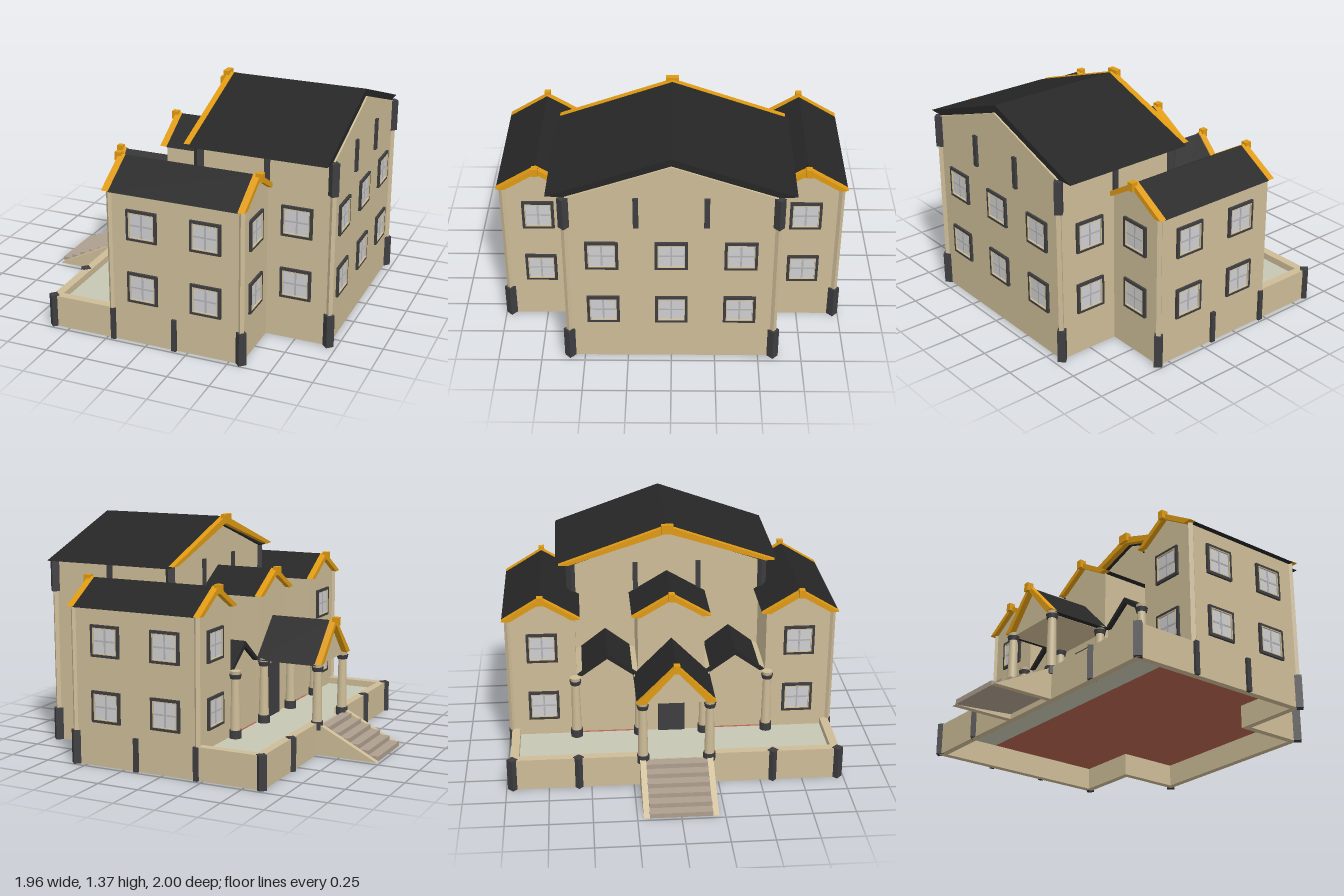
import * as THREE from 'three';

const mat = (name, color) => {
  const m = new THREE.MeshStandardMaterial({ color });
  m.name = name;
  return m;
};

export function createModel() {
  const model = new THREE.Group();
  model.name = 'villa';
  const stone = mat('sandstone', 0xcdbc97), roofing = mat('charcoal roof', 0x262626);
  const iron = mat('dark trim', 0x3e3e41), gold = mat('golden trim', 0xdf9a12);
  const tile = mat('terrace tile', 0xc6c6b3), tread = mat('step stone', 0xae9f8f);
  const brick = mat('red floor', 0xb5634f), glass = mat('window glass', 0xcfcfd1);
  const sash = mat('window sash', 0xb4b4b6);

  const add = (name, geometry, material, x = 0, y = 0, z = 0, parent = model) => {
    const mesh = new THREE.Mesh(geometry, material);
    mesh.name = name;
    mesh.position.set(x, y, z);
    parent.add(mesh);
    return mesh;
  };
  // box given by its minimum and maximum on each axis
  const box = (name, material, x0, x1, y0, y1, z0, z1) =>
    add(name, new THREE.BoxGeometry(x1 - x0, y1 - y0, z1 - z0), material,
      (x0 + x1) / 2, (y0 + y1) / 2, (z0 + z1) / 2);
  const outline = (pts) => new THREE.Shape(pts.map(([a, b]) => new THREE.Vector2(a, b)));
  const extrude = (shape, depth) => new THREE.ExtrudeGeometry(shape, { depth, bevelEnabled: false });
  // cross-section (z, y) drawn along x, centred on zc
  const alongX = (name, material, pts, x0, x1, zc) =>
    add(name, extrude(outline(pts), x1 - x0).rotateY(Math.PI / 2), material, x0, 0, zc);
  // floor plan (x, z) drawn upwards
  const plan = (name, material, shape, y0, y1) =>
    add(name, extrude(shape, y1 - y0).rotateX(-Math.PI / 2), material, 0, y0, 0);

  // gabled walls: half width, base, eave and gable peak heights
  const gabledBody = (name, x0, x1, zc, half, y0, eave, peak) =>
    alongX(name, stone, [[-half, y0], [half, y0], [half, eave], [0, peak], [-half, eave]], x0, x1, zc);
  // bent roof slab with a level soffit at the eaves
  const chevron = (outer, inner, eave, ridge, thick) => [
    [outer, eave], [0, ridge], [-outer, eave], [-inner, eave - 0.003],
    [0, ridge - thick], [inner, eave - 0.003]];
  const roof = (name, x0, x1, zc, outer, inner, eave, ridge, thick) =>
    alongX(name, roofing, chevron(outer, inner, eave, ridge, thick), x0, x1, zc);
  // golden verge with a small ridge block
  const verge = (name, x0, x1, zc, half, eave, ridge, out) => {
    alongX(name, gold, chevron(half, half - 0.05, eave, ridge, 0.035), x0, x1, zc);
    const xc = (x0 + x1) / 2 + out * 0.02;
    box(name + 'Block', gold, xc - 0.02, xc + 0.02, ridge - 0.04, ridge + 0.01, zc - 0.018, zc + 0.018);
  };

  // foundation: open underneath, with recessed floors
  const footprint = [[-0.61, -0.97], [0.57, -0.97], [0.57, -0.58], [0.95, -0.58],
    [0.95, 0.58], [0.57, 0.58], [0.57, 0.97], [-0.61, 0.97]];
  const ring = outline(footprint);
  ring.holes.push(outline([[-0.57, -0.93], [0.53, -0.93], [0.53, -0.54], [0.91, -0.54],
    [0.91, 0.54], [0.53, 0.54], [0.53, 0.93], [-0.57, 0.93]]));
  plan('foundationWall', stone, ring, 0, 0.15);
  plan('houseFloor', brick, outline([[-0.22, -0.95], [0.55, -0.95], [0.55, -0.56], [0.93, -0.56],
    [0.93, 0.56], [0.55, 0.56], [0.55, 0.95], [-0.22, 0.95]]), 0.138, 0.149);
  box('terraceFloor', tile, -0.575, -0.22, 0.138, 0.152, -0.935, 0.935);

  // main block with the large roof
  gabledBody('mainBlock', 0.15, 0.95, 0, 0.58, 0.149, 1.11, 1.312);
  roof('mainRoof', 0.13, 0.94, 0, 0.68, 0.58, 1.115, 1.355, 0.045);
  alongX('mainVerge', gold, chevron(0.66, 0.6, 1.125, 1.358, 0.045), 0.095, 0.13, 0);
  box('mainVergeBlock', gold, 0.075, 0.11, 1.315, 1.37, -0.037, 0.037);

  // entrance block between the wings
  gabledBody('entranceBlock', -0.22, 0.16, 0, 0.2, 0.149, 0.915, 1.03);
  roof('entranceRoof', -0.21, 0.15, 0, 0.235, 0.2, 0.915, 1.055, 0.022);
  verge('entranceVerge', -0.25, -0.21, 0, 0.235, 0.918, 1.058, -1);
  box('frontDoor', iron, -0.232, -0.219, 0.15, 0.48, -0.08, 0.08);

  // porch
  gabledBody('porchPediment', -0.6, -0.22, 0, 0.2, 0.53, 0.545, 0.745);
  roof('porchRoof', -0.6, -0.22, 0, 0.23, 0.2, 0.535, 0.77, 0.03);
  verge('porchVerge', -0.635, -0.595, 0, 0.23, 0.545, 0.78, -1);

  // entrance stairs: sloping cheeks, steps and a sloping underside
  for (const s of [-1, 1]) {
    const z0 = s > 0 ? 0.18 : -0.215;
    add('stairCheek', extrude(outline([[-0.98, 0], [-0.61, 0], [-0.61, 0.19]]), 0.035),
      stone, 0, 0, z0);
  }
  const steps = [[-0.61, 0.03], [-0.98, 0]];
  for (let i = 0; i < 6; i++) {
    const x = -0.98 + i * 0.0617, y = 0.028 * (i + 1);
    steps.push([x, y], [x + 0.0617, y]);
  }
  add('stairSteps', extrude(outline(steps), 0.36), tread, 0, 0, -0.18);

  // parts mirrored on both sides
  for (const s of [-1, 1]) {
    const zw = s * 0.77;
    gabledBody('wing', -0.22, 0.57, zw, 0.2, 0.149, 0.915, 1.03);
    roof('wingRoof', -0.21, 0.56, zw, 0.23, 0.2, 0.915, 1.055, 0.022);
    verge('wingVergeFront', -0.25, -0.21, zw, 0.23, 0.918, 1.058, -1);
    verge('wingVergeBack', 0.555, 0.595, zw, 0.23, 0.918, 1.058, 1);

    gabledBody('linkBlock', -0.2, 0.16, s * 0.385, 0.19, 0.149, 0.54, 0.65);
    roof('linkRoof', -0.225, 0.15, s * 0.385, 0.18, 0.15, 0.54, 0.68, 0.035);

    // terrace parapet, open at the stairs
    const sides = s > 0 ? [0.92, 0.97, 0.18, 0.97] : [-0.97, -0.92, -0.97, -0.18];
    box('terraceSideParapet', stone, -0.61, -0.22, 0.149, 0.193, sides[0], sides[1]);
    box('terraceFrontParapet', stone, -0.61, -0.56, 0.149, 0.193, sides[2], sides[3]);
  }

  // diamond posts at the corners and slim shafts above them
  const diamond = (name, material, r, y0, y1, x, z) =>
    add(name, new THREE.CylinderGeometry(r, r, y1 - y0, 4).toNonIndexed(), material, x, (y0 + y1) / 2, z)
      .geometry.computeVertexNormals();
  for (const s of [-1, 1]) {
    for (const [x, z] of [[-0.6, 0.96], [-0.6, 0.573], [0.57, 0.967], [0.95, 0.585]])
      diamond('cornerPost', iron, 0.033, 0, 0.197, x, s * z);
    diamond('upperCornerPost', iron, 0.031, 0.92, 1.112, 0.95, s * 0.585);
    diamond('upperCornerPost', iron, 0.031, 0.92, 1.112, 0.157, s * 0.585);
    for (const [x, z, top] of [[-0.217, 0.967, 0.915], [0.57, 0.967, 0.915], [0.95, 0.583, 0.92]])
      diamond('cornerShaft', stone, 0.018, 0.19, top, x, s * z);

    // flat buttresses
    for (const x of [-0.21, 0.17])
      box('baseButtress', iron, x - 0.014, x + 0.014, 0, 0.195, s * 0.975 - 0.012, s * 0.975 + 0.012);
    box('eaveButtress', iron, 0.55, 0.58, 0.92, 1.11, s * 0.585 - 0.012, s * 0.585 + 0.012);
    for (const x of [0.15, 0.953])
      box('gableButtress', iron, x - 0.012, x + 0.012, 0.925, 1.115, s * 0.193 - 0.015, s * 0.193 + 0.015);
  }

  // round columns
  const column = (x, z) => {
    const group = new THREE.Group();
    group.name = 'column';
    group.position.set(x, 0, z);
    model.add(group);
    const part = (name, material, rTop, rBottom, y0, y1) =>
      add(name, new THREE.CylinderGeometry(rTop, rBottom, y1 - y0, 20), material, 0, (y0 + y1) / 2, 0, group);
    part('columnBase', iron, 0.036, 0.036, 0.15, 0.2);
    part('columnShaft', stone, 0.024, 0.03, 0.2, 0.5);
    part('columnCollar', iron, 0.036, 0.03, 0.5, 0.525);
    part('columnCap', stone, 0.032, 0.028, 0.525, 0.545);
  };
  for (const s of [-1, 1])
    for (const [x, z] of [[-0.6, 0.195], [-0.255, 0.195], [-0.255, 0.578]]) column(x, s * z);

  // windows: dark frame, stone bead, glass and a cross of bars
  const squareRing = (outer, inner) => {
    const square = (h) => outline([[-h, -h], [h, -h], [h, h], [-h, h]]);
    const shape = square(outer);
    shape.holes.push(square(inner));
    return shape;
  };
  const frameGeo = extrude(squareRing(0.092, 0.073), 0.014);
  const beadGeo = extrude(squareRing(0.076, 0.071), 0.016);
  const glassGeo = new THREE.BoxGeometry(0.15, 0.15, 0.008);
  const barGeo = new THREE.BoxGeometry(0.01, 0.146, 0.006);
  const turns = { front: 0, right: Math.PI / 2, back: Math.PI, left: -Math.PI / 2 };
  const windowPair = (x, z, facing) => {
    for (const y of [0.35, 0.73]) {
      const group = new THREE.Group();
      group.name = 'window';
      group.position.set(x, y, z);
      group.rotation.y = turns[facing];
      model.add(group);
      add('windowFrame', frameGeo, iron, 0, 0, 0, group);
      add('windowBead', beadGeo, stone, 0, 0, 0, group);
      add('windowGlass', glassGeo, glass, 0, 0, 0.002, group);
      add('windowBar', barGeo, sash, 0, 0, 0.006, group);
      add('windowCrossBar', barGeo, sash, 0, 0, 0.006, group).rotation.z = Math.PI / 2;
    }
  };
  for (const s of [-1, 1]) {
    const side = s > 0 ? 'front' : 'back';
    for (const x of [-0.02, 0.362]) windowPair(x, s * 0.97, side);
    windowPair(0.745, s * 0.58, side);
    windowPair(0.57, s * 0.77, 'right');
    windowPair(-0.22, s * 0.77, 'left');
    windowPair(0.95, s * 0.385, 'right');
  }
  windowPair(0.95, 0, 'right');

  return model;
}
